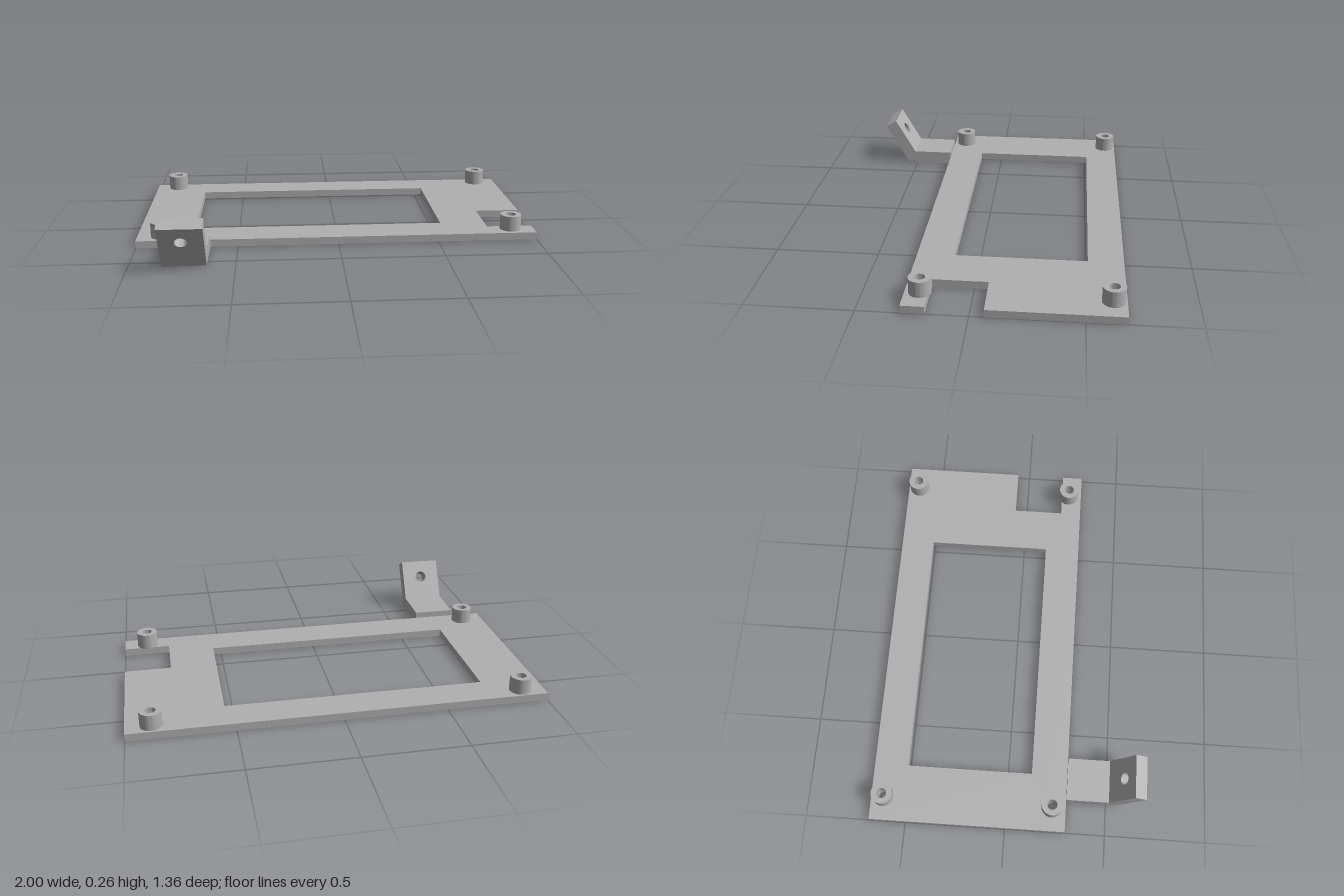
import * as THREE from 'three';
import { toCreasedNormals } from 'three/addons/utils/BufferGeometryUtils.js';

const polygon = (pts) => pts.map(([x, y]) => new THREE.Vector2(x, y));
const circle = (x, y, r) => new THREE.Path().absarc(x, y, r, 0, Math.PI * 2, true);

// Extrude a shape with sharp edges and smooth round walls
function extrude(shape, depth) {
  const geometry = new THREE.ExtrudeGeometry(shape, { depth, bevelEnabled: false, curveSegments: 32 });
  return toCreasedNormals(geometry, Math.PI / 6);
}

// Lay a shape drawn in (x, z) flat, with its underside at height y
const slab = (shape, depth, y = 0) =>
  extrude(shape, depth).rotateX(Math.PI / 2).translate(0, y + depth, 0);

export function createModel() {
  const model = new THREE.Group();
  const grey = new THREE.MeshStandardMaterial({ color: 0xb0b0b0 });
  grey.name = 'grey';

  const add = (name, geometry) => {
    const mesh = new THREE.Mesh(geometry, grey);
    mesh.name = name;
    model.add(mesh);
    return mesh;
  };

  const plateHeight = 0.037;
  const postTop = 0.114;
  const boreRadius = 0.025;
  const posts = [[-0.88, -0.62], [0.88, -0.62], [-0.88, 0.23], [0.88, 0.23]];

  // Base plate with a window, an edge notch and screw holes
  const plate = new THREE.Shape(polygon([
    [-1, -0.68], [1, -0.68], [1, -0.065], [0.77, -0.065],
    [0.77, 0.193], [1, 0.193], [1, 0.3], [-1, 0.3],
  ]));
  plate.holes.push(new THREE.Path(polygon([[-0.72, -0.51], [-0.72, 0.12], [0.54, 0.12], [0.54, -0.51]])));
  posts.forEach(([x, z]) => plate.holes.push(circle(x, z, boreRadius)));
  add('basePlate', slab(plate, plateHeight));

  // Hollow standoffs at the corners
  const ring = new THREE.Shape().absarc(0, 0, 0.052, 0, Math.PI * 2, false);
  ring.holes.push(circle(0, 0, boreRadius));
  const postGeometry = slab(ring, postTop - plateHeight, plateHeight);
  posts.forEach(([x, z]) => add('standoff', postGeometry).position.set(x, 0, z));

  // Flat arm of the mounting bracket
  const width = 0.21;
  const bracketX = -0.74;
  const thickness = 0.069;
  add('bracketArm', new THREE.BoxGeometry(width, thickness, 0.216)
    .translate(bracketX, thickness / 2, 0.408));

  // Tilted tab with a screw hole, leaning forward by 30 degrees
  const half = width / 2;
  const tab = new THREE.Shape(polygon([[-half, 0], [half, 0], [half, 0.26], [-half, 0.26]]));
  tab.holes.push(circle(0, 0.168, 0.03));
  add('bracketTab', extrude(tab, 0.067).rotateX(Math.PI / 6).translate(bracketX, 0.0335, 0.491));

  return model;
}
